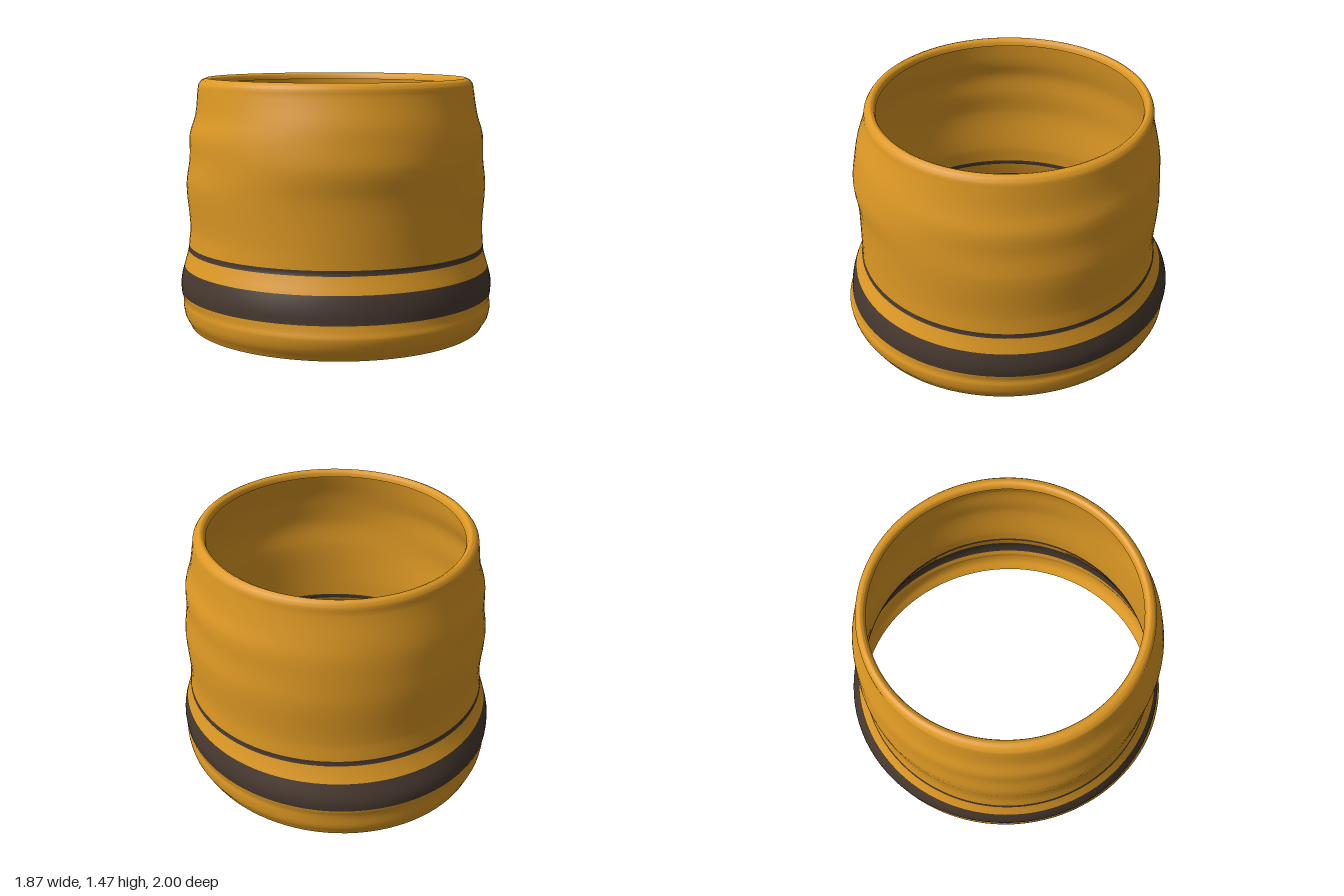
import * as THREE from 'three';

// Rings of the sleeve from hem to rolled rim: y, right (-x), left (+x), front (+z), back (-z)
const RINGS = [
  [0, .885, .885, .945, .962],
  [.06, .915, .92, .98, .982],
  [.125, .925, .93, .995, .985],
  [.16, .924, .924, .984, .99],
  [.2, .934, .932, .974, 1],
  [.27, .935, .935, .965, .99],
  [.355, .915, .915, .938, .947],
  [.45, .89, .89, .897, .905],
  [.48, .886, .887, .892, .9],
  [.6, .876, .88, .89, .89],
  [.84, .895, .895, .89, .905],
  [1, .873, .876, .91, .9],
  [1.14, .87, .873, .89, .89],
  [1.25, .836, .84, .868, .868],
  [1.38, .822, .82, .825, .838],
  [1.43, .815, .812, .815, .836],
  [1.455, .795, .795, .8, .825],
  [1.467, .77, .77, .778, .806],
  [1.455, .75, .75, .758, .787],
  [1.425, .74, .74, .75, .778],
];
const SIDES = 96;
const STEPS = 3;

// Closed bands of the wall, by ring index; odd bands are the dark stripes
const BANDS = [[0, 4, 0], [4, 6, 1], [6, 7, 0], [7, 8, 1], [8, RINGS.length - 1, 0]];

// Smooth value between rings k and k + 1
function blend(k, t, c) {
  const last = RINGS.length - 1;
  const p0 = RINGS[Math.max(k - 1, 0)][c], p1 = RINGS[k][c];
  const p2 = RINGS[Math.min(k + 1, last)][c], p3 = RINGS[Math.min(k + 2, last)][c];
  // Height stays linear, radii follow a spline
  if (c === 0) return p1 + (p2 - p1) * t;
  const m1 = (p2 - p0) / 2, m2 = (p3 - p1) / 2, t2 = t * t, t3 = t2 * t;
  return (2 * t3 - 3 * t2 + 1) * p1 + (t3 - 2 * t2 + t) * m1 + (3 * t2 - 2 * t3) * p2 + (t3 - t2) * m2;
}

function sleeveGeometry() {
  const positions = [], indices = [];
  const rows = (RINGS.length - 1) * STEPS + 1;
  for (let i = 0; i < rows; i++) {
    const k = Math.floor(i / STEPS), t = (i % STEPS) / STEPS;
    const [y, right, left, front, back] = [0, 1, 2, 3, 4].map((c) => blend(k, t, c));
    for (let j = 0; j < SIDES; j++) {
      const a = (j / SIDES) * Math.PI * 2, s = Math.sin(a), c = Math.cos(a);
      positions.push(s * (s > 0 ? left : right), y, c * (c > 0 ? front : back));
    }
  }
  for (let i = 0; i < rows - 1; i++) {
    for (let j = 0; j < SIDES; j++) {
      const n = (j + 1) % SIDES;
      const a = i * SIDES + j, b = i * SIDES + n;
      indices.push(a, b, a + SIDES, b, b + SIDES, a + SIDES);
    }
  }
  const geometry = new THREE.BufferGeometry();
  geometry.setAttribute('position', new THREE.Float32BufferAttribute(positions, 3));
  geometry.setIndex(indices);
  geometry.computeVertexNormals();
  // One material group per band, so the stripes show inside and out
  const perRing = STEPS * SIDES * 6;
  for (const [from, to, material] of BANDS) {
    geometry.addGroup(from * perRing, (to - from) * perRing, material);
  }
  return geometry;
}

export function createModel() {
  const amber = new THREE.MeshStandardMaterial({ color: 0xdd9824, side: THREE.DoubleSide });
  amber.name = 'amber';
  const darkBrown = new THREE.MeshStandardMaterial({ color: 0x46382f, side: THREE.DoubleSide });
  darkBrown.name = 'darkBrown';

  const group = new THREE.Group();
  group.name = 'stripedSleeve';
  const sleeve = new THREE.Mesh(sleeveGeometry(), [amber, darkBrown]);
  sleeve.name = 'sleeve';
  group.add(sleeve);
  return group;
}
